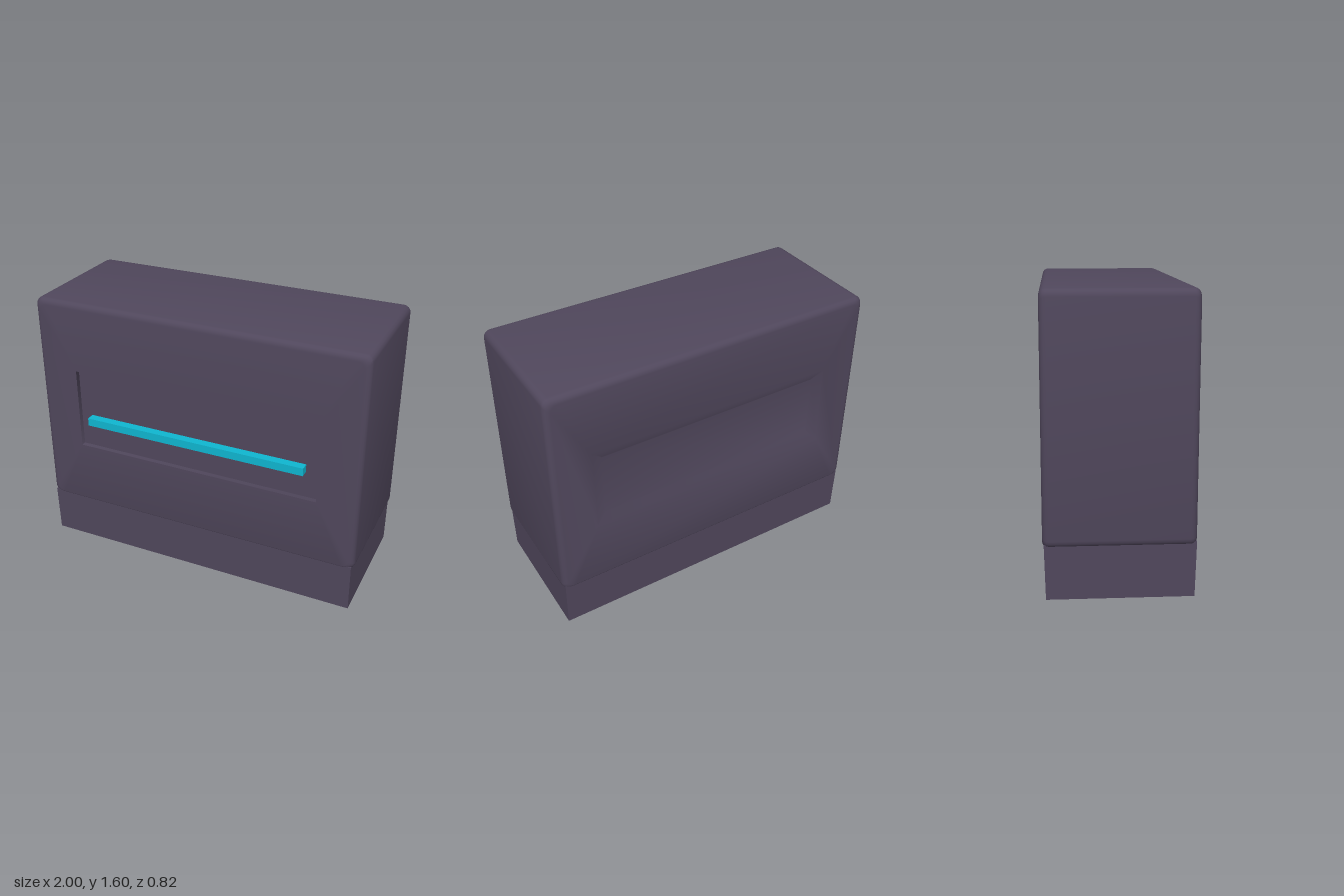
import * as THREE from 'three';
import { toCreasedNormals } from 'three/addons/utils/BufferGeometryUtils.js';

const CORNER_STEPS = 4;

// Rounded rectangle of points at depth z, anticlockwise seen from the front
function rectLoop(halfWidth, bottom, top, z, radius) {
  const points = [];
  const corners = [[1, top, -1], [-1, top, -1], [-1, bottom, 1], [1, bottom, 1]];
  corners.forEach(([side, y, inward], c) => {
    for (let i = 0; i <= CORNER_STEPS; i++) {
      const a = (c + i / CORNER_STEPS) * Math.PI / 2;
      points.push([
        side * (halfWidth - radius) + Math.cos(a) * radius,
        y + inward * radius + Math.sin(a) * radius,
        z,
      ]);
    }
  });
  return points;
}

// Skin a list of loops running from back to front and close both ends
function skinLoops(loops) {
  const n = loops[0].length;
  const positions = loops.flat(2);
  const index = [];
  for (let i = 0; i < loops.length - 1; i++) {
    for (let j = 0; j < n; j++) {
      const k = (j + 1) % n;
      const a = i * n + j, b = i * n + k, c = a + n, d = b + n;
      index.push(a, b, d, a, d, c);
    }
  }
  const last = (loops.length - 1) * n;
  for (let j = 1; j < n - 1; j++) {
    index.push(0, j + 1, j);
    index.push(last, last + j, last + j + 1);
  }
  const geometry = new THREE.BufferGeometry();
  geometry.setAttribute('position', new THREE.Float32BufferAttribute(positions, 3));
  geometry.setIndex(index);
  return toCreasedNormals(geometry, 0.6);
}

// Rounded case with a shallow sloped recess behind and a square one in front
function caseGeometry() {
  const back = -0.41, front = 0.39, bottom = 0.28, top = 1.6, edge = 0.035;
  const inset = (d, z) => rectLoop(1 - d, bottom + d * 0.5, top - d, z, 0.04);
  const loops = [
    rectLoop(0.7, 0.73, 1.12, back + 0.03, 0.005),
    rectLoop(0.76, 0.67, 1.18, back, 0.005),
  ];
  for (let i = 0; i <= 4; i++) {
    const a = i / 4 * Math.PI / 2;
    loops.push(inset(edge * (1 - Math.sin(a)), back + edge * (1 - Math.cos(a))));
  }
  for (let i = 4; i >= 0; i--) {
    const a = i / 4 * Math.PI / 2;
    loops.push(inset(edge * (1 - Math.sin(a)), front - edge * (1 - Math.cos(a))));
  }
  loops.push(rectLoop(0.757, 0.68, 1.177, front, 0.004));
  loops.push(rectLoop(0.757, 0.68, 1.177, front - 0.03, 0.004));
  return skinLoops(loops);
}

// Plinth narrowing slightly towards the floor
function plinthGeometry() {
  const geometry = new THREE.BoxGeometry(1.97, 0.3, 0.79);
  const p = geometry.attributes.position;
  for (let i = 0; i < p.count; i++) {
    if (p.getY(i) < 0) p.setZ(i, p.getZ(i) * 0.98);
  }
  geometry.computeVertexNormals();
  return geometry;
}

export function createModel() {
  const model = new THREE.Group();
  model.name = 'cabinet';

  const casing = new THREE.MeshStandardMaterial({ color: 0x50475c });
  casing.name = 'dark purple casing';
  const glow = new THREE.MeshStandardMaterial({ color: 0x0fb6d0 });
  glow.name = 'cyan strip';

  const add = (name, geometry, material, x = 0, y = 0, z = 0) => {
    const mesh = new THREE.Mesh(geometry, material);
    mesh.name = name;
    mesh.position.set(x, y, z);
    model.add(mesh);
  };

  add('case', caseGeometry(), casing);
  add('plinth', plinthGeometry(), casing, 0, 0.15, -0.007);
  // Light bar across the front recess
  add('lightStrip', new THREE.BoxGeometry(1.365, 0.048, 0.055), glow, -0.003, 0.865, 0.3825);

  return model;
}
